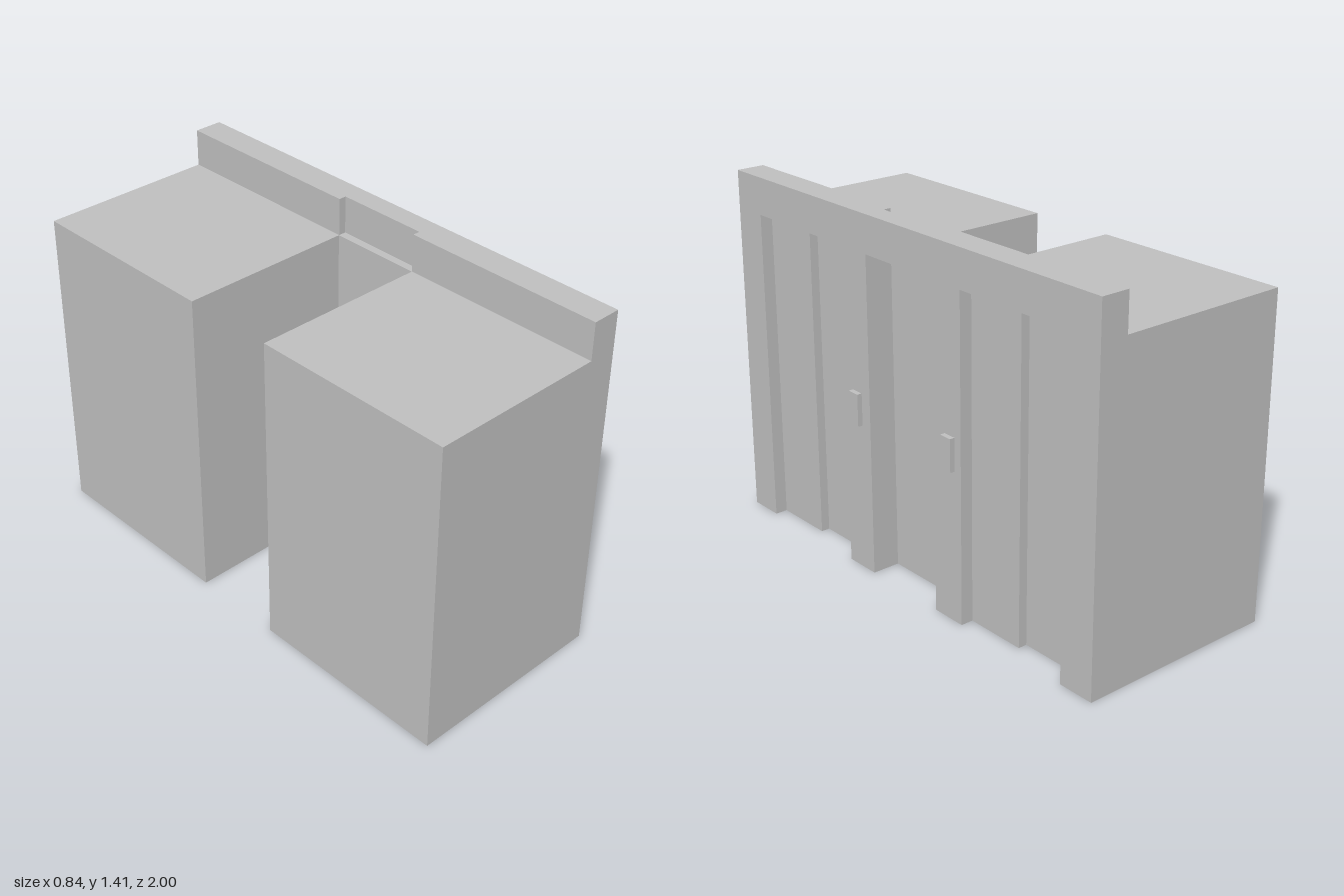
import * as THREE from 'three';

const FRONT = 0.4, BACK = -0.42, HEADER_BACK = 0.285;
const DOOR_TOP = 1.267, TOP = 1.415, GAP = 0.187;

export function createModel() {
  const group = new THREE.Group();
  group.name = 'twinShaftBlock';
  const grey = new THREE.MeshStandardMaterial({ color: 0xbfbfbf });
  grey.name = 'grey';

  const add = (name, geometry) => {
    const mesh = new THREE.Mesh(geometry, grey);
    mesh.name = name;
    group.add(mesh);
    return mesh;
  };

  // Raise a floor plan given as [x, z] corners from y0 to y1
  const raise = (name, plan, y0, y1) => {
    const shape = new THREE.Shape(plan.map(([x, z]) => new THREE.Vector2(x, -z)));
    const geometry = new THREE.ExtrudeGeometry(shape, { depth: y1 - y0, bevelEnabled: false });
    geometry.rotateX(-Math.PI / 2).translate(0, y0, 0);
    return add(name, geometry);
  };

  const box = (name, x0, x1, y0, y1, z0, z1) =>
    add(name, new THREE.BoxGeometry(x1 - x0, y1 - y0, z1 - z0)
      .translate((x0 + x1) / 2, (y0 + y1) / 2, (z0 + z1) / 2));

  // Shaft body with a doorway holding two door leaves, the rear one set deeper
  const shaft = (name, zHigh, zLow, [a, b, c], shallow, deep) => raise(name, [
    [BACK, zHigh], [FRONT, zHigh],
    [FRONT, a], [FRONT - shallow, a],
    [FRONT - shallow, b], [FRONT - deep, b],
    [FRONT - deep, c], [FRONT, c],
    [FRONT, zLow], [BACK, zLow],
  ], 0, DOOR_TOP);
  shaft('leftShaft', 1, GAP, [0.855, 0.603, 0.335], 0.05, 0.085);
  shaft('rightShaft', -GAP, -1, [-0.333, -0.585, -0.85], 0.05, 0.085);

  // Header beam across the front, notched at the back over the gap
  raise('header', [
    [HEADER_BACK, 1], [FRONT, 1], [FRONT, -1], [HEADER_BACK, -1],
    [HEADER_BACK, -GAP], [0.315, -GAP], [0.315, GAP], [HEADER_BACK, GAP],
  ], DOOR_TOP, TOP);

  // Recessed wall closing the gap between the shafts, with its top ledge
  box('middlePanel', HEADER_BACK - 0.002, HEADER_BACK + 0.002, 0, DOOR_TOP, -GAP, GAP);
  box('middleLedge', HEADER_BACK, 0.315, DOOR_TOP - 0.004, DOOR_TOP, -GAP, GAP);

  // Call plates beside the doorways
  for (const [name, z] of [['leftCallPlate', 0.262], ['rightCallPlate', -0.273]]) {
    box(name, FRONT, 0.42, 0.595, 0.723, z - 0.027, z + 0.027);
  }
  return group;
}
